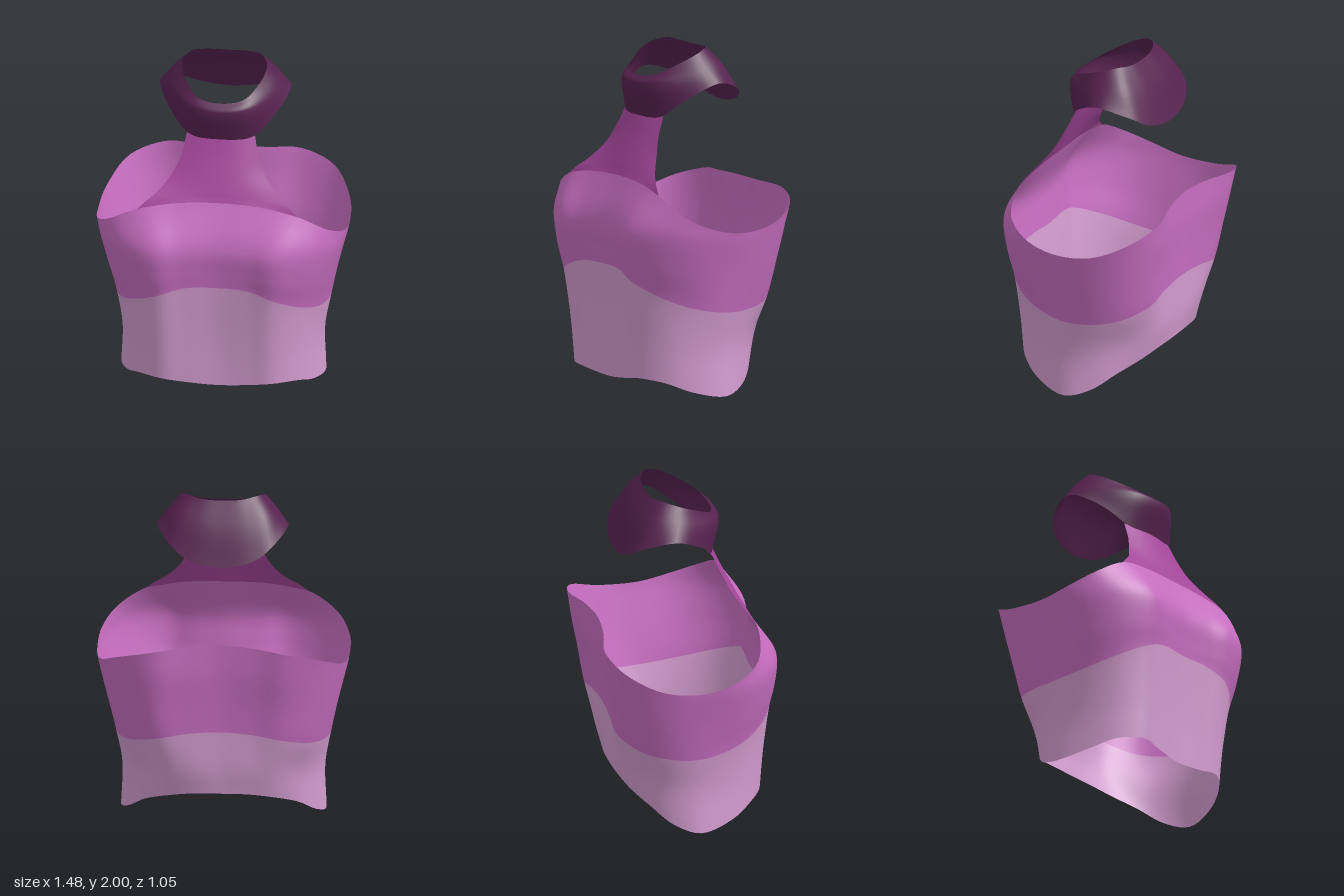
import * as THREE from 'three';

const V = (p) => new THREE.Vector3(...p);

// Mirror half a cross-section in x; a closed loop drops the repeated end points
function mirrored(half, closed) {
  const flip = ([x, y, z]) => [-x, y, z];
  return closed
    ? [...half, ...half.slice(1, -1).reverse().map(flip)]
    : [...half.slice(1).reverse().map(flip), ...half];
}

// Smooth skin over mirrored cross-sections listed from top to bottom.
// splits: index of each section at which the next material begins
function loft(name, halves, closed, materials, splits = [], around = 5, down = 6) {
  const loops = halves.map((half) => {
    const pts = mirrored(half, closed).map(V);
    const n = (closed ? pts.length : pts.length - 1) * around;
    const curve = new THREE.CatmullRomCurve3(pts, closed);
    return Array.from({ length: closed ? n : n + 1 }, (_, i) => curve.getPoint(i / n));
  });
  const cols = loops[0].length;
  const rows = (loops.length - 1) * down;
  const pos = new Float32Array((rows + 1) * cols * 3);
  for (let i = 0; i < cols; i++) {
    const curve = new THREE.CatmullRomCurve3(loops.map((l) => l[i]));
    for (let j = 0; j <= rows; j++) curve.getPoint(j / rows).toArray(pos, (j * cols + i) * 3);
  }
  const index = [];
  const spans = closed ? cols : cols - 1;
  for (let j = 0; j < rows; j++) {
    for (let i = 0; i < spans; i++) {
      const a = j * cols + i, b = j * cols + (i + 1) % cols;
      index.push(a, a + cols, b, b, a + cols, b + cols);
    }
  }
  const geo = new THREE.BufferGeometry();
  geo.setAttribute('position', new THREE.BufferAttribute(pos, 3));
  geo.setIndex(index);
  geo.computeVertexNormals();
  const marks = [0, ...splits, loops.length - 1].map((r) => r * down * spans * 6);
  materials.forEach((_, k) => geo.addGroup(marks[k], marks[k + 1] - marks[k], k));
  const mesh = new THREE.Mesh(geo, materials.length > 1 ? materials : materials[0]);
  mesh.name = name;
  return mesh;
}

// Bodice half sections, from front centre round the side to back centre
const topEdge = [[0, 1.26, .365], [.24, 1.25, .374], [.47, 1.205, .386], [.64, 1.105, .335], [.72, 1.03, .2],
  [.738, .985, 0], [.71, 1.01, -.25], [.6, 1.1, -.45], [.4, 1.16, -.525], [.2, 1.18, -.48], [0, 1.19, -.46]];
const bust = [[0, 1, .475], [.19, 1, .492], [.36, 1, .52], [.56, .98, .43], [.69, .95, .26],
  [.727, .93, 0], [.7, .93, -.22], [.6, .97, -.41], [.4, 1, -.507], [.2, 1, -.477], [0, 1, -.455]];
const underBust = [[0, .84, .468], [.19, .84, .488], [.35, .83, .517], [.53, .79, .42], [.64, .74, .25],
  [.677, .73, 0], [.655, .73, -.21], [.56, .77, -.38], [.39, .8, -.472], [.2, .8, -.455], [0, .8, -.44]];
const bandLine = [[0, .745, .459], [.19, .74, .475], [.34, .69, .49], [.49, .61, .395], [.588, .54, .23],
  [.63, .5, 0], [.6, .51, -.19], [.515, .54, -.34], [.36, .59, -.442], [.19, .62, -.438], [0, .63, -.43]];
const waist = [[0, .35, .425], [.18, .35, .44], [.33, .35, .45], [.47, .31, .355], [.555, .28, .21],
  [.592, .27, 0], [.555, .3, -.16], [.465, .34, -.285], [.33, .38, -.39], [.17, .38, -.418], [0, .38, -.415]];
const hem = [[0, .075, .415], [.18, .09, .425], [.33, .11, .43], [.465, .09, .335], [.55, .035, .2],
  [.6, 0, 0], [.545, .05, -.15], [.445, .14, -.265], [.31, .195, -.345], [.16, .225, -.383], [0, .23, -.392]];

// Neck panel half sections, from centre to edge
const neckPanel = [
  [[0, 1.605, .21], [.1, 1.607, .2], [.2, 1.615, .172]],
  [[0, 1.5, .253], [.11, 1.5, .246], [.225, 1.5, .222]],
  [[0, 1.4, .3], [.13, 1.4, .293], [.272, 1.4, .267]],
  [[0, 1.32, .338], [.17, 1.315, .336], [.35, 1.305, .33]],
  [[0, 1.285, .353], [.21, 1.275, .358], [.42, 1.25, .367]],
  topEdge.slice(0, 3),
];

// Collar half sections, from front centre round to the flared back
const collar = [
  [[0, 1.84, .215], [.13, 1.855, .188], [.205, 1.905, .105], [.25, 1.97, -.025], [.205, 1.998, -.12],
    [.12, 1.99, -.165], [0, 1.985, -.175]],
  [[0, 1.8, .255], [.15, 1.81, .225], [.27, 1.83, .1], [.32, 1.89, -.055], [.265, 1.9, -.195],
    [.16, 1.86, -.258], [0, 1.84, -.278]],
  [[0, 1.6, .212], [.18, 1.61, .182], [.3, 1.71, .095], [.385, 1.81, -.09], [.31, 1.755, -.275],
    [.2, 1.68, -.345], [0, 1.64, -.37]],
];

export function createModel() {
  const cloth = (name, color) => {
    const m = new THREE.MeshStandardMaterial({ color, side: THREE.DoubleSide });
    m.name = name;
    return m;
  };
  const pale = cloth('pale lilac', 0xd69ed2);
  const orchid = cloth('orchid', 0xc96fc2);
  const magenta = cloth('deep magenta', 0xa6479c);
  const plum = cloth('dark plum', 0x56224f);

  const group = new THREE.Group();
  group.name = 'halterTop';
  group.add(
    loft('bodice', [topEdge, bust, underBust, bandLine, waist, hem], true, [orchid, pale], [3]),
    loft('neckPanel', neckPanel, false, [magenta]),
    loft('collar', collar, true, [plum]),
  );
  return group;
}
